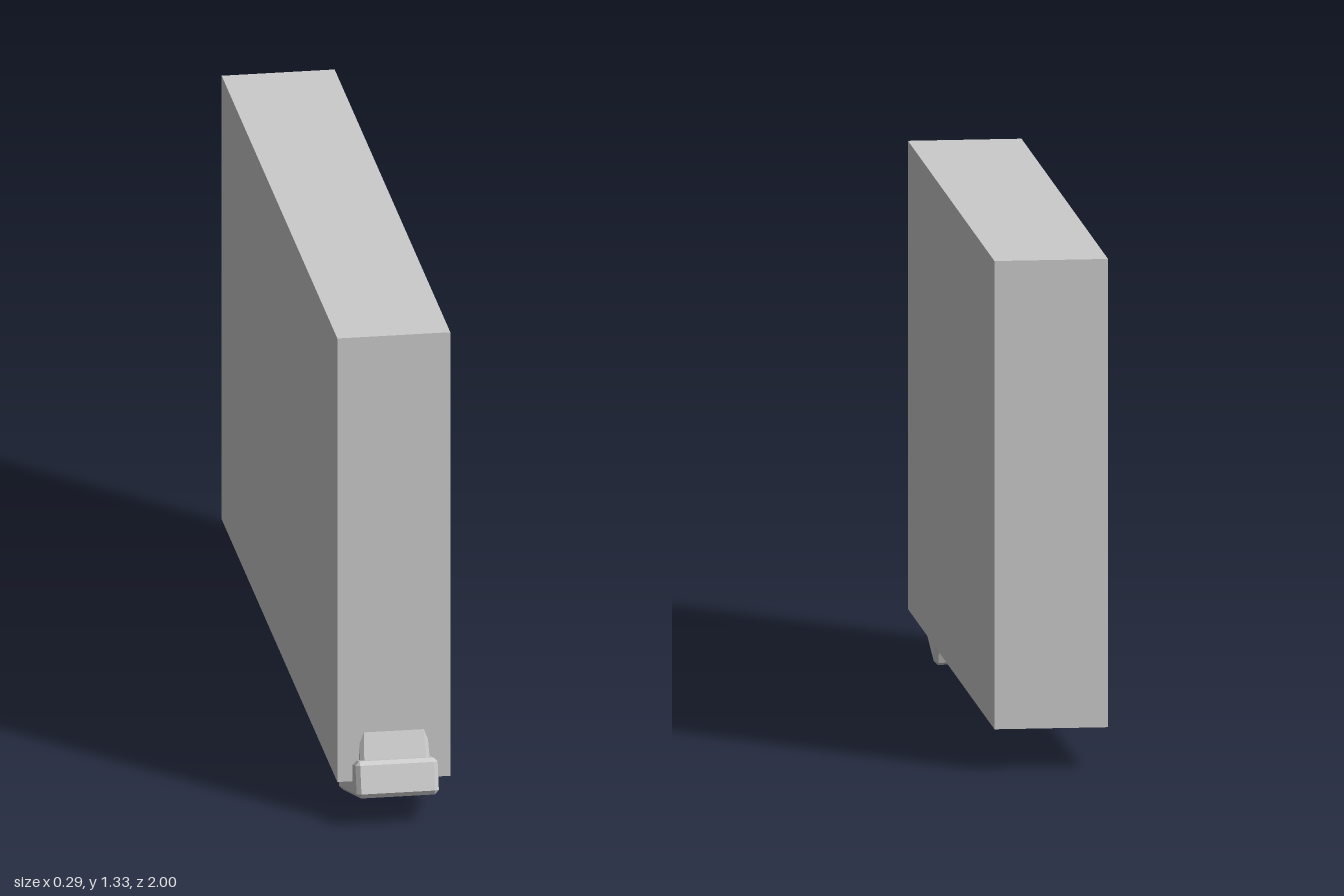
import * as THREE from 'three';
import { ConvexGeometry } from 'three/addons/geometries/ConvexGeometry.js';

const material = new THREE.MeshStandardMaterial({ color: 0xcccccc, flatShading: true });

// Box with chamfered edges; the top is scaled by taper
function chamferedBox(w, h, d, c, taper = 1) {
  const half = [w / 2, h / 2, d / 2];
  const points = [];
  for (const sx of [-1, 1]) for (const sy of [-1, 1]) for (const sz of [-1, 1]) {
    for (let axis = 0; axis < 3; axis++) {
      const [x, y, z] = half.map((s, i) => (i === axis ? s : s - c));
      const k = sy > 0 ? taper : 1;
      points.push(new THREE.Vector3(sx * x * k, sy * y, sz * z * k));
    }
  }
  return new ConvexGeometry(points);
}

function addPart(parent, name, geometry, x, y, z) {
  const mesh = new THREE.Mesh(geometry, material);
  mesh.name = name;
  mesh.position.set(x, y, z);
  parent.add(mesh);
  return mesh;
}

export function createModel() {
  const model = new THREE.Group();
  model.name = 'model';

  // Tall slab
  addPart(model, 'slab', new THREE.BoxGeometry(0.294, 1.22, 1.925), 0, 0.72, -0.0375);

  // Tilted foot under the front edge
  const foot = new THREE.Group();
  foot.name = 'foot';
  foot.position.set(0, 0.09, 0.832);
  foot.rotation.x = -0.285;
  addPart(foot, 'footBlock', chamferedBox(0.214, 0.096, 0.33, 0.011), 0, 0, 0);

  // Raised tongue reaching from the foot into the slab
  addPart(foot, 'footTongue', chamferedBox(0.182, 0.11, 0.274, 0.01, 0.96), 0, 0.085, 0);
  model.add(foot);

  return model;
}
